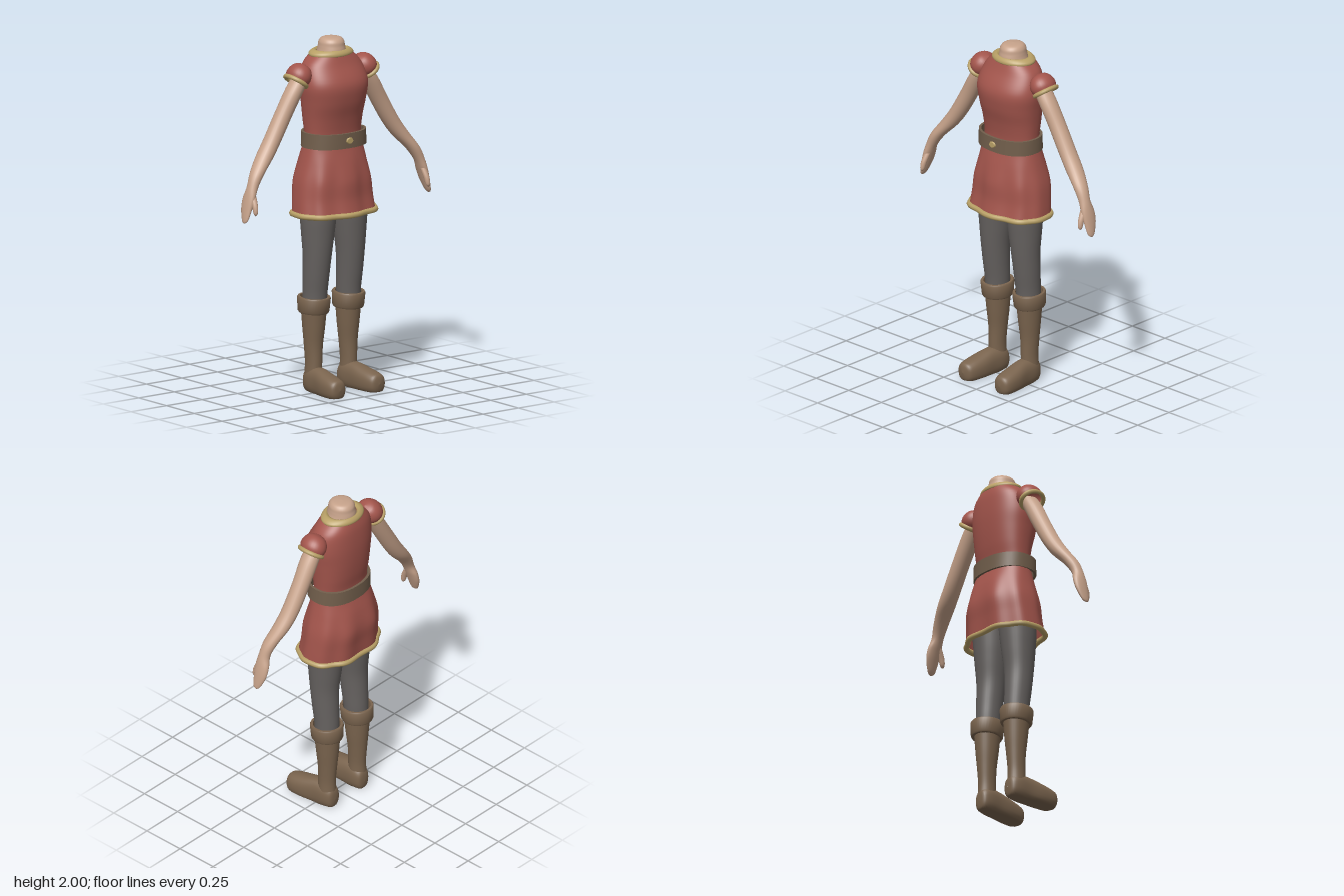
import * as THREE from 'three';
import { toCreasedNormals } from 'three/addons/utils/BufferGeometryUtils.js';

const material = (name, color, side = THREE.FrontSide) => {
  const m = new THREE.MeshStandardMaterial({ color, side });
  m.name = name;
  return m;
};

// Point on an oval ring; a station is [x, y, z, radiusX, radiusZ]
function ringPoint([x, y, z, rx, rz], angle, power = 1, warp) {
  const c = Math.cos(angle), s = Math.sin(angle), k = warp ? warp(angle, y) : 1;
  return new THREE.Vector3(
    x + rx * k * Math.sign(c) * Math.abs(c) ** power, y,
    z - rz * k * Math.sign(s) * Math.abs(s) ** power);
}

// Surface through oval stations, smoothly interpolated when steps > 1
function loft(stations, { steps = 5, seg = 32, power = 1, warp } = {}) {
  const rows = [], at = i => stations[Math.max(0, Math.min(stations.length - 1, i))];
  for (let i = 0; i < stations.length - 1; i++) {
    for (let k = 0; k < steps; k++) {
      const t = k / steps;
      rows.push(at(i).map((p1, d) => {
        const p0 = at(i - 1)[d], p2 = at(i + 1)[d], p3 = at(i + 2)[d];
        return p1 + 0.5 * t * (p2 - p0 + t * (2 * p0 - 5 * p1 + 4 * p2 - p3 + t * (3 * (p1 - p2) + p3 - p0)));
      }));
    }
  }
  rows.push(stations[stations.length - 1]);
  const pos = [], index = [];
  rows.forEach((row, i) => {
    for (let j = 0; j < seg; j++) {
      pos.push(...ringPoint(row, (j / seg) * Math.PI * 2, power, warp).toArray());
      if (i === rows.length - 1) continue;
      const a = i * seg + j, b = i * seg + (j + 1) % seg;
      index.push(a, b, b + seg, a, b + seg, a + seg);
    }
  });
  const g = new THREE.BufferGeometry();
  g.setAttribute('position', new THREE.Float32BufferAttribute(pos, 3));
  g.setIndex(index);
  g.computeVertexNormals();
  return g;
}

// Thick band with crisp edges
const band = (stations, power = 1) =>
  toCreasedNormals(loft([...stations, stations[0]], { steps: 1, seg: 40, power }), 0.7);

export function createModel() {
  const model = new THREE.Group();
  model.name = 'figure';
  const red = material('red cloth', 0xa3554c, THREE.DoubleSide);
  const gold = material('gold trim', 0xb8a066);
  const skin = material('skin', 0xc6a28a);
  const grey = material('grey leggings', 0x666260);
  const brown = material('brown boot leather', 0x7a644e);
  const dark = material('belt leather', 0x725f4c);
  const add = (name, geometry, mat, parent = model) => {
    const m = new THREE.Mesh(geometry, mat);
    m.name = name;
    parent.add(m);
    return m;
  };

  // Tunic, with soft folds below the waist
  const folds = (a, y) => {
    const t = a + Math.PI / 2;
    const k = Math.max(0, Math.min(1, (1.37 - y) / 0.17));
    return 1 + 0.04 * k * Math.cos(t) * Math.cos(8 * t);
  };
  const hem = [0, 1.015, -0.022, 0.25, 0.168];
  add('tunic', loft([
    hem,
    [0, 1.1, -0.033, 0.242, 0.163],
    [0, 1.2, -0.04, 0.23, 0.165],
    [0, 1.3, -0.04, 0.206, 0.145],
    [0, 1.39, -0.037, 0.185, 0.118],
    [0, 1.45, -0.035, 0.175, 0.105],
    [0, 1.55, -0.035, 0.183, 0.12],
    [0, 1.65, -0.027, 0.195, 0.138],
    [0, 1.75, -0.025, 0.205, 0.143],
    [0, 1.85, -0.046, 0.18, 0.115],
    [0, 1.91, -0.05, 0.122, 0.095],
  ], { seg: 80, power: 0.88, warp: folds }), red);
  const hemPoints = Array.from({ length: 64 }, (_, i) => ringPoint(hem, (i / 64) * Math.PI * 2, 0.88, folds));
  add('skirtTrim', new THREE.TubeGeometry(new THREE.CatmullRomCurve3(hemPoints, true), 128, 0.016, 8, true), gold);

  // Collar and neck
  add('collar', loft([
    [0, 1.895, -0.05, 0.115, 0.085],
    [0, 1.898, -0.05, 0.134, 0.101],
    [0, 1.915, -0.05, 0.134, 0.101],
    [0, 1.931, -0.05, 0.105, 0.086],
    [0, 1.922, -0.05, 0.085, 0.075],
  ], { steps: 3, seg: 40 }), gold);
  add('neck', loft([
    [0, 1.86, -0.045, 0.1, 0.085],
    [0, 1.92, -0.045, 0.08, 0.084],
    [0, 1.95, -0.045, 0.074, 0.078],
    [0, 1.975, -0.045, 0.069, 0.073],
    [0, 1.994, -0.045, 0.05, 0.052],
    [0, 2, -0.045, 0.001, 0.001],
  ]), skin);

  // Belt and buckle
  add('belt', band([
    [0, 1.39, -0.025, 0.193, 0.145],
    [0, 1.475, -0.025, 0.19, 0.145],
    [0, 1.475, -0.025, 0.176, 0.131],
    [0, 1.39, -0.025, 0.178, 0.131],
  ], 0.88), dark);
  const buckle = add('buckle', new THREE.CylinderGeometry(0.02, 0.026, 0.012, 8).rotateX(Math.PI / 2), gold);
  buckle.position.set(0, 1.433, 0.122);
  buckle.scale.y = 0.8;

  for (const s of [1, -1]) {
    const side = s > 0 ? 'left' : 'right';
    const limb = (name, stations, mat, options) =>
      add(side + name, loft(stations.map(([x, ...rest]) => [x * s, ...rest]), options), mat);

    // Puffed sleeve and its trim
    const sleeve = new THREE.Group();
    sleeve.name = side + 'Sleeve';
    sleeve.position.set(0.25 * s, 1.775, -0.045);
    sleeve.rotation.z = 0.63 * s;
    sleeve.scale.x = 0.88;
    model.add(sleeve);
    const profile = new THREE.SplineCurve([[0.068, 0], [0.078, 0.03], [0.071, 0.065], [0.045, 0.095], [0, 0.108]]
      .map(p => new THREE.Vector2(...p))).getPoints(16);
    add('sleeveCap', new THREE.LatheGeometry(profile, 32), red, sleeve);
    add('sleeveTrim', new THREE.TorusGeometry(0.07, 0.013, 8, 36).rotateX(Math.PI / 2), gold, sleeve);

    // Arm with a flat hand and thumb
    limb('Arm', [
      [0.65, 1.03, 0, 0.001, 0.002],
      [0.643, 1.047, 0, 0.011, 0.024],
      [0.625, 1.11, -0.008, 0.02, 0.042],
      [0.607, 1.17, -0.008, 0.026, 0.045],
      [0.585, 1.23, -0.005, 0.031, 0.035],
      [0.545, 1.3, -0.015, 0.042, 0.042],
      [0.478, 1.38, -0.035, 0.053, 0.049],
      [0.413, 1.47, -0.045, 0.054, 0.05],
      [0.335, 1.6, -0.048, 0.055, 0.05],
      [0.265, 1.72, -0.045, 0.055, 0.053],
      [0.22, 1.79, -0.045, 0.05, 0.05],
    ], skin, { seg: 24 });
    limb('Thumb', [
      [0.607, 1.075, 0.05, 0.001, 0.001],
      [0.606, 1.09, 0.049, 0.012, 0.013],
      [0.603, 1.13, 0.039, 0.016, 0.018],
      [0.598, 1.18, 0.015, 0.018, 0.018],
    ], skin, { seg: 16 });

    // Leg
    limb('Leg', [
      [0.12, 0.48, -0.045, 0.065, 0.07],
      [0.118, 0.56, -0.042, 0.068, 0.073],
      [0.118, 0.66, -0.033, 0.073, 0.078],
      [0.116, 0.78, -0.024, 0.08, 0.084],
      [0.112, 0.9, -0.024, 0.092, 0.096],
      [0.109, 1.0, -0.025, 0.101, 0.105],
      [0.107, 1.12, -0.03, 0.104, 0.11],
      [0.1, 1.24, -0.035, 0.09, 0.1],
    ], grey);

    // Boot shaft, foot and folded cuff
    limb('BootShaft', [
      [0.124, 0.08, -0.05, 0.048, 0.055],
      [0.123, 0.16, -0.048, 0.045, 0.053],
      [0.122, 0.26, -0.051, 0.051, 0.057],
      [0.121, 0.36, -0.05, 0.061, 0.067],
      [0.121, 0.47, -0.048, 0.07, 0.077],
    ], brown);
    const foot = limb('Foot', [
      [0.12, -0.11, -0.05, 0.001, 0.001],
      [0.12, -0.1, -0.055, 0.038, 0.057],
      [0.122, -0.055, -0.062, 0.054, 0.078],
      [0.126, 0.02, -0.058, 0.056, 0.082],
      [0.133, 0.1, -0.05, 0.062, 0.073],
      [0.138, 0.17, -0.045, 0.058, 0.062],
      [0.139, 0.204, -0.046, 0.041, 0.046],
      [0.139, 0.215, -0.047, 0.001, 0.001],
    ], brown, { power: 0.85 });
    foot.geometry.rotateX(Math.PI / 2);
    const p = foot.geometry.attributes.position;
    for (let i = 0; i < p.count; i++) p.setY(i, Math.max(0, p.getY(i))); // flat sole
    foot.geometry.computeVertexNormals();
    const cuff = add(side + 'BootCuff', band([
      [0, -0.045, 0, 0.082, 0.087],
      [0, -0.036, 0, 0.087, 0.092],
      [0, 0.036, 0, 0.092, 0.097],
      [0, 0.044, 0, 0.088, 0.093],
      [0, 0.044, 0, 0.075, 0.08],
      [0, -0.045, 0, 0.065, 0.07],
    ]), brown);
    cuff.position.set(0.122 * s, 0.495, -0.048);
    cuff.rotation.x = 0.06;
  }
  return model;
}
